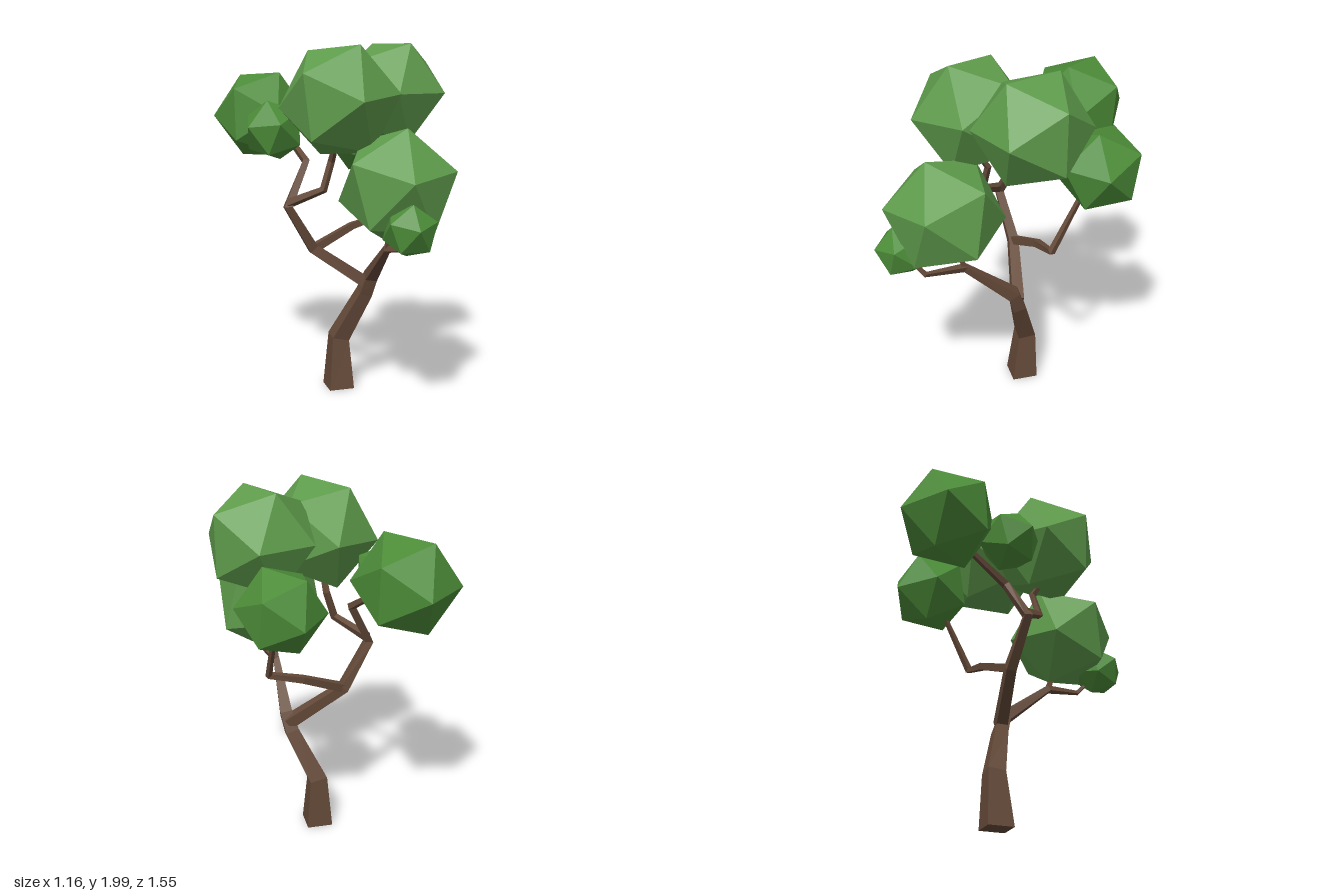
import * as THREE from 'three';

const V = (a) => new THREE.Vector3(...a);
const bark = new THREE.MeshStandardMaterial({ color: 0x654a39, flatShading: true });
const lightLeaf = new THREE.MeshStandardMaterial({ color: 0x5f9c4c, flatShading: true });
const darkLeaf = new THREE.MeshStandardMaterial({ color: 0x4c8c38, flatShading: true });

// Orthonormal basis with the first axis on a and the second leaning to b
function basis(a, b) {
  const e1 = a.clone().normalize();
  const e3 = e1.clone().cross(b).normalize();
  return new THREE.Matrix4().makeBasis(e1, e3.clone().cross(e1), e3);
}

// Icosahedron leaf clump with two neighbouring corners aimed along a and b
function clump(name, centre, radius, a, b, material) {
  const t = (1 + Math.sqrt(5)) / 2;
  const geometry = new THREE.IcosahedronGeometry(radius, 0);
  geometry.applyMatrix4(basis(V([-1, t, 0]), V([1, t, 0])).transpose());
  geometry.applyMatrix4(basis(V(a), V(b)));
  const mesh = new THREE.Mesh(geometry, material);
  mesh.name = name;
  mesh.position.set(...centre);
  return mesh;
}

// Four-sided tapering limb through points [x, y, z, halfWidth]
function limb(name, points, startDir) {
  const p = points.map((q) => V(q.slice(0, 3)));
  const pos = [], index = [], n = p.length;
  let tangent = startDir ? V(startDir) : p[1].clone().sub(p[0]).normalize();
  const ref = Math.abs(tangent.x) > 0.8 ? V([0, 0, 1]) : V([1, 0, 0]);
  let u = ref.addScaledVector(tangent, -ref.dot(tangent)).normalize();
  for (let i = 0; i < n; i++) {
    if (i > 0) {
      const before = p[i].clone().sub(p[i - 1]).normalize();
      const after = i < n - 1 ? p[i + 1].clone().sub(p[i]).normalize() : before;
      const next = before.clone().add(after).normalize();
      u.applyQuaternion(new THREE.Quaternion().setFromUnitVectors(tangent, next));
      tangent = next;
    }
    const w = tangent.clone().cross(u);
    for (const [a, b] of [[1, 1], [-1, 1], [-1, -1], [1, -1]]) {
      const c = p[i].clone().addScaledVector(u, a * points[i][3]).addScaledVector(w, b * points[i][3]);
      pos.push(c.x, c.y, c.z);
    }
  }
  for (let i = 0; i < n - 1; i++) {
    for (let j = 0; j < 4; j++) {
      const a = i * 4 + j, b = i * 4 + (j + 1) % 4;
      index.push(a, b, b + 4, a, b + 4, a + 4);
    }
  }
  const e = (n - 1) * 4;
  index.push(0, 2, 1, 0, 3, 2, e, e + 1, e + 2, e, e + 2, e + 3);
  const geometry = new THREE.BufferGeometry();
  geometry.setAttribute('position', new THREE.Float32BufferAttribute(pos, 3));
  geometry.setIndex(index);
  geometry.computeVertexNormals();
  const mesh = new THREE.Mesh(geometry, bark);
  mesh.name = name;
  return mesh;
}

export function createModel() {
  const tree = new THREE.Group();
  tree.name = 'tree';

  // Trunk, running on into the front branch
  tree.add(
    limb('trunk', [
      [0.045, 0, -0.075, 0.073], [0.05, 0.3, -0.09, 0.05], [0.18, 0.58, -0.01, 0.038],
      [0.205, 0.68, 0.025, 0.034], [0.205, 0.9, 0.3, 0.018], [0.29, 0.945, 0.53, 0.011],
      [0.22, 1.04, 0.62, 0.008],
    ], [0, 1, 0]),
    limb('frontTwig', [[0.205, 0.9, 0.3, 0.014], [0.22, 1.1, 0.37, 0.01]]),

    // Branch to the right side with its forks
    limb('sideBranch', [
      [0.2, 0.63, 0, 0.033], [-0.11, 0.845, -0.06, 0.028], [-0.265, 1.1, -0.02, 0.023],
      [-0.14, 1.34, -0.1, 0.018], [-0.2, 1.48, -0.34, 0.012],
    ]),
    limb('crownFork', [
      [-0.26, 1.12, -0.02, 0.02], [-0.1, 1.21, 0.12, 0.016],
      [-0.05, 1.36, 0.1, 0.014], [-0.04, 1.52, 0.2, 0.01],
    ]),
    limb('backFork', [
      [-0.11, 0.845, -0.06, 0.023], [0.14, 0.95, -0.13, 0.019],
      [0.33, 1.0, -0.15, 0.016], [0.32, 1.33, -0.32, 0.01],
    ]),
  );

  // Leaf clumps
  tree.add(
    clump('crownFrontLeaves', [-0.03, 1.69, 0.19], 0.328, [0.03, 0.01, 0.325], [0.07, 0.28, 0.145], lightLeaf),
    clump('crownLeftLeaves', [0.335, 1.723, -0.035], 0.314, [0.25, 0.163, -0.095], [0.25, 0, 0.19], lightLeaf),
    clump('frontLeaves', [0.22, 1.255, 0.4], 0.326, [-0.025, 0.055, 0.32], [0.02, 0.315, 0.09], lightLeaf),
    clump('smallFrontLeaves', [0.205, 1.065, 0.632], 0.147, [0, 0.02, 0.14], [0, 0.145, 0.04], darkLeaf),
    clump('backRightLeaves', [-0.31, 1.58, -0.5], 0.28, [-0.04, -0.02, -0.275], [-0.1, 0.245, -0.125], darkLeaf),
    clump('backLeftLeaves', [0.305, 1.455, -0.41], 0.238, [0.23, 0.02, 0.03], [0.1, 0.22, 0.045], darkLeaf),
    clump('smallRightLeaves', [-0.312, 1.515, -0.148], 0.178, [0, 0.04, 0.165], [-0.045, 0.17, 0.04], darkLeaf),
  );
  return tree;
}
